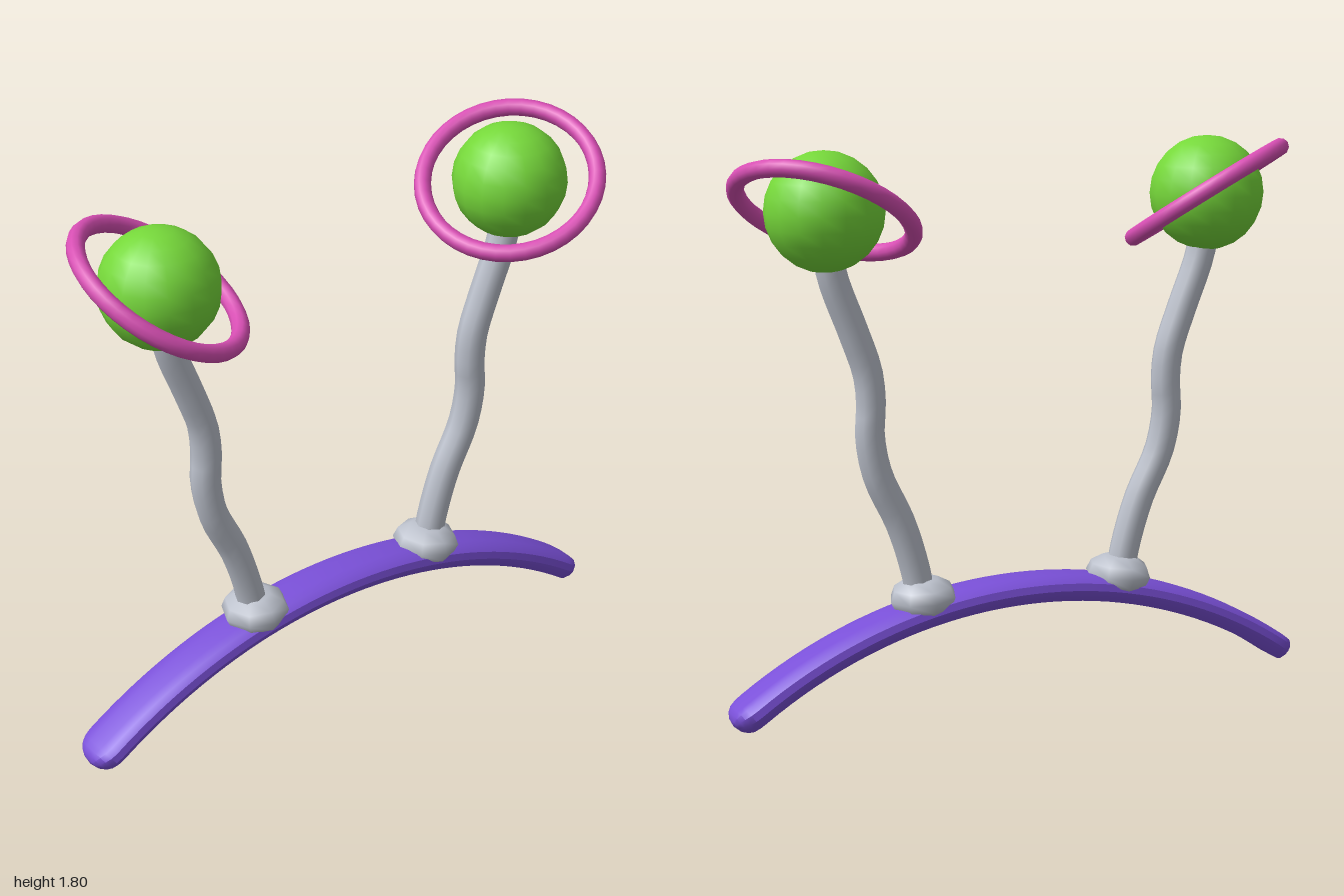
import * as THREE from 'three';
import { toCreasedNormals } from 'three/addons/utils/BufferGeometryUtils.js';

const mat = (name, color) => {
  const m = new THREE.MeshStandardMaterial({ color });
  m.name = name;
  return m;
};

// Curved headband: a bevelled section swept along an arc, with rounded tips
function bandGeometry() {
  const R = 1.64, centreY = -1.29, tMax = 0.65, steps = 40;
  const half = [[0.03, 0.04], [0.062, 0.037], [0.083, 0.023], [0.09, 0], [0.083, -0.018], [0.06, -0.04]];
  const section = [...half, ...half.slice().reverse().map(([z, y]) => [-z, y])];
  const n = section.length;

  const stations = [];
  const tips = [0, 0.004, 0.012, 0.022, 0.035, 0.05];
  tips.forEach((d) => stations.push(-tMax + d));
  for (let i = 1; i < steps; i++) stations.push((tMax - 0.05) * (2 * i / steps - 1));
  tips.slice().reverse().forEach((d) => stations.push(tMax - d));

  const round = (d, r) => (d >= r ? 1 : Math.sqrt(1 - (1 - d / r) ** 2));
  const pos = [], index = [];
  for (const t of stations) {
    const d = (tMax - Math.abs(t)) * R;
    const sz = round(d, 0.08), sy = round(d, 0.045);
    for (const [z, y] of section) {
      const r = R + y * sy;
      pos.push(r * Math.sin(t), centreY + r * Math.cos(t), z * sz);
    }
  }
  for (let i = 0; i < stations.length - 1; i++) {
    for (let j = 0; j < n; j++) {
      const a = i * n + j, b = i * n + (j + 1) % n, c = a + n, e = b + n;
      index.push(a, c, b, b, c, e);
    }
  }
  const g = new THREE.BufferGeometry();
  g.setAttribute('position', new THREE.Float32BufferAttribute(pos, 3));
  g.setIndex(index);
  return toCreasedNormals(g, 0.62);
}

export function createModel() {
  const purple = mat('purple band', 0x7a50d8);
  purple.side = THREE.DoubleSide;
  const grey = mat('pale grey', 0xbcc1cc);
  const green = mat('bright green', 0x76d83a);
  const pink = mat('pink', 0xd84fb4);

  const model = new THREE.Group();
  model.name = 'antennaHeadband';
  const add = (parent, name, geometry, material, x = 0, y = 0, z = 0) => {
    const mesh = new THREE.Mesh(geometry, material);
    mesh.name = name;
    mesh.position.set(x, y, z);
    parent.add(mesh);
    return mesh;
  };

  add(model, 'headband', bandGeometry(), purple);

  // Wavy stalk centre line, as x and y
  const path = [[0.35, 0.31], [0.375, 0.45], [0.425, 0.61], [0.5, 0.77], [0.525, 0.9],
    [0.52, 1.0], [0.53, 1.1], [0.575, 1.23], [0.64, 1.4], [0.665, 1.52]];

  for (const side of [1, -1]) {
    const antenna = new THREE.Group();
    antenna.name = side > 0 ? 'leftAntenna' : 'rightAntenna';
    model.add(antenna);

    // Squashed socket
    const socket = add(antenna, 'socket', new THREE.SphereGeometry(0.115, 8, 6), grey, side * 0.35, 0.36);
    socket.scale.set(0.96, 0.6, 1);
    socket.rotation.z = side * -0.08;

    // Stalk
    const curve = new THREE.CatmullRomCurve3(path.map(([x, y]) => new THREE.Vector3(side * x, y, 0)));
    add(antenna, 'stalk', new THREE.TubeGeometry(curve, 28, 0.05, 8), grey);

    // Ball with a tilted ring around it
    add(antenna, 'ball', new THREE.SphereGeometry(0.187, 16, 12), green, side * 0.665, 1.61);
    const ring = add(antenna, 'ring', new THREE.TorusGeometry(0.281, 0.028, 10, 40), pink, side * 0.665, 1.61);
    const axis = new THREE.Vector3(side * -0.413, 0.839, 0.352).normalize();
    ring.quaternion.setFromUnitVectors(new THREE.Vector3(0, 0, 1), axis);
  }
  return model;
}
